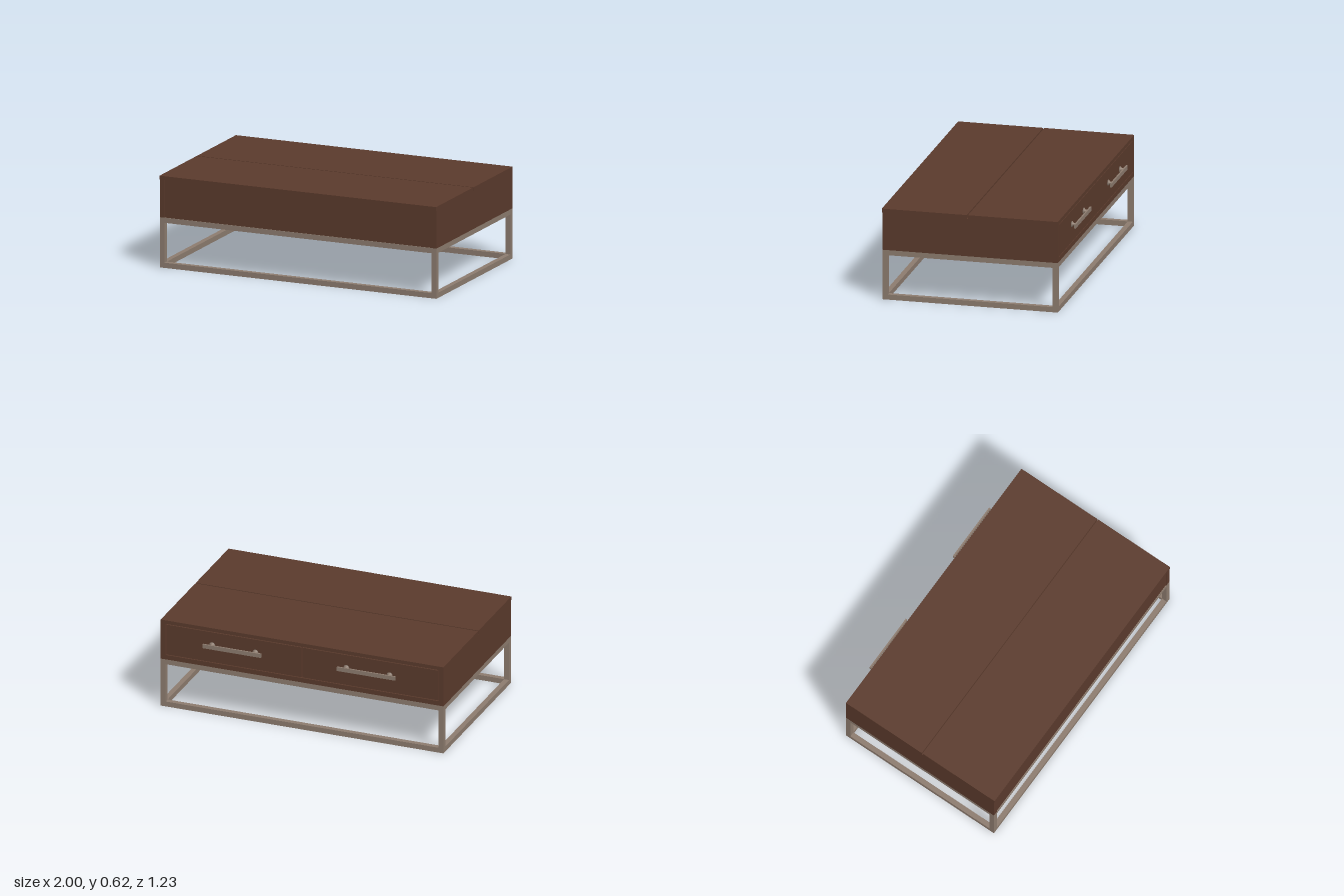
import * as THREE from 'three';

export function createModel() {
  const wood = new THREE.MeshStandardMaterial({ color: 0x5a3a2c });
  wood.name = 'dark brown wood';
  const metal = new THREE.MeshStandardMaterial({ color: 0x8c7b6e });
  metal.name = 'warm grey metal';

  const model = new THREE.Group();
  model.name = 'coffeeTable';

  // Box given by its limits on each axis
  function box(name, mat, [x0, x1], [y0, y1], [z0, z1], parent = model) {
    const mesh = new THREE.Mesh(new THREE.BoxGeometry(x1 - x0, y1 - y0, z1 - z0), mat);
    mesh.position.set((x0 + x1) / 2, (y0 + y1) / 2, (z0 + z1) / 2);
    mesh.name = name;
    parent.add(mesh);
    return mesh;
  }

  const back = -0.578, front = 0.61, t = 0.035;
  const base = 0.34, caseTop = 0.597, top = 0.622;

  // Metal base: two rectangles joined by four legs
  const frame = new THREE.Group();
  frame.name = 'baseFrame';
  model.add(frame);
  for (const y of [0, base - t]) {
    for (const z of [back, front - t]) box('longRail', metal, [-1, 1], [y, y + t], [z, z + t], frame);
    for (const x of [-1, 1 - t]) box('sideRail', metal, [x, x + t], [y, y + t], [back + t, front - t], frame);
  }
  for (const x of [-1, 1 - t])
    for (const z of [back, front - t]) box('leg', metal, [x, x + t], [t, base - t], [z, z + t], frame);

  // Wooden case
  const inner = 1 - t;
  for (const x of [-1, inner]) box('sidePanel', wood, [x, x + t], [base, caseTop], [back, front]);
  box('frontPanel', wood, [-inner, inner], [base, caseTop], [front - t, front - 0.004]);
  box('bottomPanel', wood, [-inner, inner], [base, base + 0.02], [back + t, front - t]);
  box('backRail', wood, [-inner, inner], [base, 0.372], [back, back + t]);
  box('drawerRecess', wood, [-inner, inner], [0.372, caseTop], [back + 0.02, back + t]);

  // Two-part top with a narrow gap above the case
  box('innerTop', wood, [-inner, inner], [caseTop - 0.015, caseTop], [back + t, front - t]);
  box('fixedTop', wood, [-1, 1], [caseTop, top], [back, 0.031]);
  box('liftTop', wood, [-1, 1], [caseTop, top], [0.039, 0.615]);

  // Drawers and bar handles on the back
  for (const side of [-1, 1]) {
    const drawer = new THREE.Group();
    drawer.name = side < 0 ? 'rightDrawer' : 'leftDrawer';
    model.add(drawer);
    const xs = side < 0 ? [-0.96, -0.003] : [0.003, 0.96];
    box('drawerFront', wood, xs, [0.377, 0.592], [back, back + 0.02], drawer);

    const cx = side < 0 ? -0.467 : 0.482;
    box('handleBar', metal, [cx - 0.207, cx + 0.207], [0.486, 0.514], [-0.618, -0.607], drawer);
    for (const dx of [-0.153, 0.153]) {
      // Flared foot narrowing into a short post
      const profile = [[0, 0], [0.021, 0], [0.019, 0.005], [0.009, 0.014], [0.009, 0.031]];
      const post = new THREE.Mesh(
        new THREE.LatheGeometry(profile.map(([r, h]) => new THREE.Vector2(r, h)), 20), metal);
      post.rotation.x = -Math.PI / 2;
      post.position.set(cx + dx, 0.5, back);
      post.name = 'handlePost';
      drawer.add(post);
    }
  }
  return model;
}
